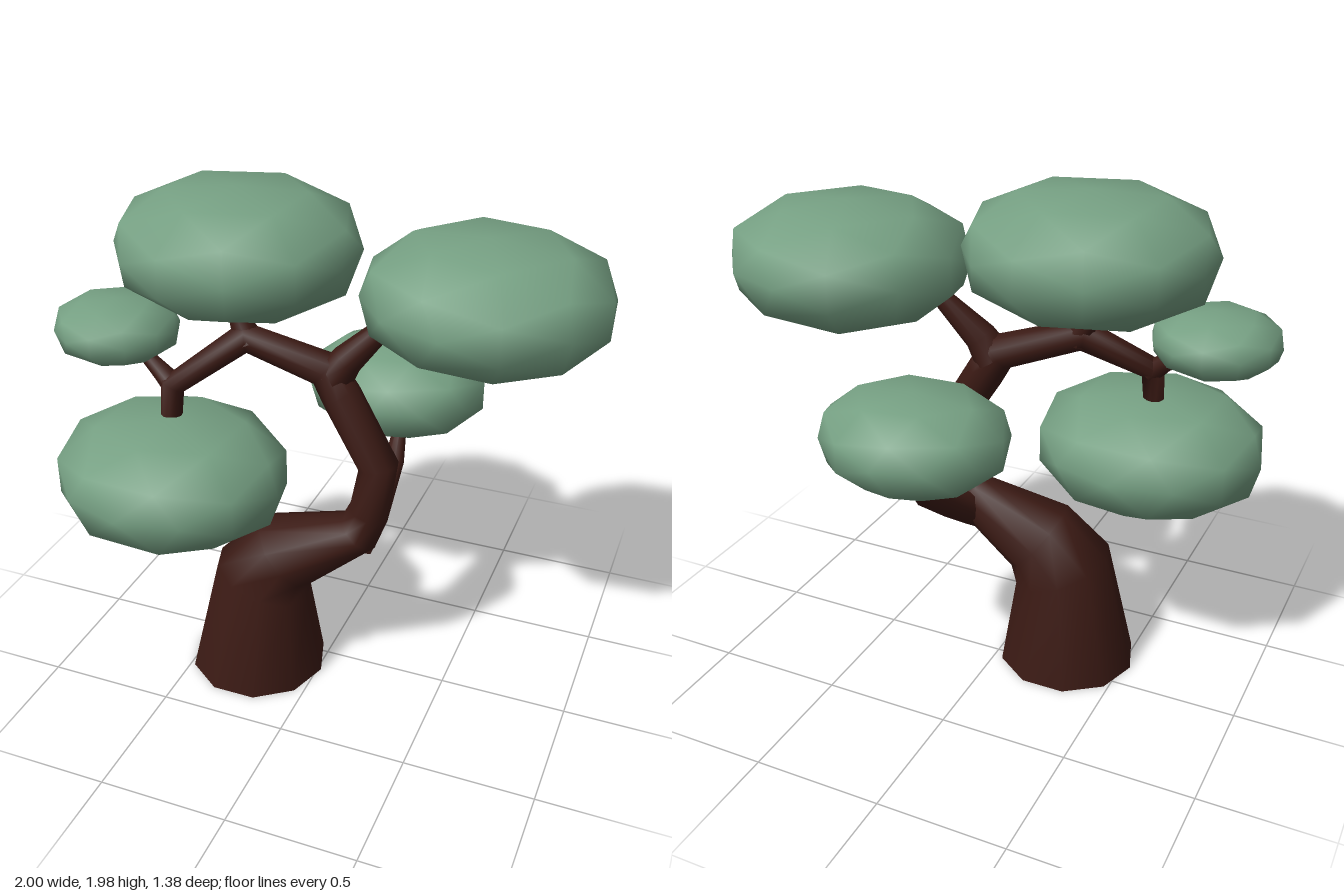
import * as THREE from 'three';
import { mergeVertices } from 'three/addons/utils/BufferGeometryUtils.js';

const bark = new THREE.MeshStandardMaterial({ color: 0x3b1a14 });
const leaves = new THREE.MeshStandardMaterial({ color: 0x76a083 });
const SIDES = 10;

// Tapered limb swept through rings [x, y, z, radius], closed at both ends
function limb(name, rings) {
  const pts = rings.map(([x, y, z]) => new THREE.Vector3(x, y, z));
  const last = pts.length - 1;
  const positions = [], index = [];
  const u = new THREE.Vector3(1, 0, 0);
  const dir = (i) => pts[i + 1].clone().sub(pts[i]).normalize();
  const loops = pts.map((p, i) => {
    const t = new THREE.Vector3();
    if (i > 0) t.add(dir(i - 1));
    if (i < last) t.add(dir(i));
    if (p.y === 0) t.set(0, 1, 0); // the foot sits flat on the ground
    t.normalize();
    u.addScaledVector(t, -u.dot(t)).normalize();
    const v = t.clone().cross(u);
    return Array.from({ length: SIDES }, (_, j) => {
      const a = (j / SIDES) * Math.PI * 2;
      return p.clone().addScaledVector(u, Math.cos(a) * rings[i][3]).addScaledVector(v, Math.sin(a) * rings[i][3]);
    });
  });
  const push = (p) => positions.push(p.x, p.y, p.z) / 3 - 1;
  loops.forEach((loop) => loop.forEach(push));
  for (let i = 0; i < last; i++) {
    for (let j = 0; j < SIDES; j++) {
      const a = i * SIDES + j, b = i * SIDES + (j + 1) % SIDES;
      index.push(a, b, b + SIDES, a, b + SIDES, a + SIDES);
    }
  }
  for (const end of [0, last]) {
    const c = push(pts[end]);
    loops[end].forEach(push);
    for (let j = 0; j < SIDES; j++) {
      const a = c + 1 + j, b = c + 1 + (j + 1) % SIDES;
      index.push(...(end ? [c, a, b] : [c, b, a]));
    }
  }
  const geo = new THREE.BufferGeometry();
  geo.setAttribute('position', new THREE.Float32BufferAttribute(positions, 3));
  geo.setIndex(index);
  geo.computeVertexNormals();
  const mesh = new THREE.Mesh(geo, bark);
  mesh.name = name;
  return mesh;
}

// Low-poly pad of leaves: a sphere squared off towards its top and bottom, fitted to a size
function pad(name, centre, size, turn) {
  let geo = new THREE.IcosahedronGeometry(1, 1);
  geo.deleteAttribute('normal');
  geo.deleteAttribute('uv');
  geo = mergeVertices(geo, 1e-3);
  const pos = geo.attributes.position;
  const p = new THREE.Vector3();
  for (let i = 0; i < pos.count; i++) {
    p.fromBufferAttribute(pos, i);
    const k = Math.pow(Math.hypot(p.x, p.z) ** 2.8 + Math.abs(p.y) ** 2.8, -1 / 2.8);
    pos.setXYZ(i, p.x * k, p.y * k, p.z * k);
  }
  geo.rotateY(turn);
  geo.computeBoundingBox();
  const box = geo.boundingBox.getSize(new THREE.Vector3());
  geo.center();
  geo.scale(size[0] / box.x, size[1] / box.y, size[2] / box.z);
  geo.computeVertexNormals();
  const mesh = new THREE.Mesh(geo, leaves);
  mesh.name = name;
  mesh.position.set(...centre);
  return mesh;
}

export function createModel() {
  const tree = new THREE.Group();
  tree.name = 'tree';

  // Bent trunk running on into the long drooping left limb
  tree.add(limb('trunk', [
    [-0.26, 0, 0.115, 0.275], [-0.23, 0.42, 0.11, 0.2], [-0.14, 0.54, 0.085, 0.165],
    [0.155, 0.69, 0.065, 0.09], [0.195, 0.79, 0.065, 0.08], [0.225, 0.99, 0.06, 0.077],
    [0.065, 1.24, 0.03, 0.075], [0.0, 1.33, 0.02, 0.07], [-0.3, 1.43, 0.07, 0.06],
    [-0.52, 1.27, 0.235, 0.048], [-0.53, 1.08, 0.25, 0.038],
  ]));

  // Side branches
  tree.add(limb('upperRightBranch', [[0.03, 1.3, 0.02, 0.075], [0.08, 1.38, 0.01, 0.06], [0.25, 1.56, -0.04, 0.03]]));
  tree.add(limb('topBranch', [[-0.28, 1.41, 0.07, 0.06], [-0.32, 1.49, 0.06, 0.04], [-0.37, 1.62, 0.05, 0.025]]));
  tree.add(limb('smallLeftBranch', [[-0.51, 1.26, 0.23, 0.045], [-0.57, 1.31, 0.22, 0.035], [-0.69, 1.38, 0.18, 0.02]]));
  tree.add(limb('backBranch', [[0.13, 0.63, 0.05, 0.085], [0.17, 0.69, -0.07, 0.06], [0.18, 0.82, -0.27, 0.04], [0.16, 1.0, -0.43, 0.02]]));

  // Leaf pads
  const foliage = [
    ['topFoliage', [-0.34, 1.76, 0.015], [0.88, 0.44, 0.81], 0.3],
    ['rightFoliage', [0.555, 1.65, -0.1], [0.88, 0.44, 0.85], 0.9],
    ['lowerLeftFoliage', [-0.51, 0.935, 0.29], [0.88, 0.45, 0.8], 1.5],
    ['backFoliage', [0.15, 1.125, -0.38], [0.7, 0.35, 0.62], 2.1],
    ['smallLeftFoliage', [-0.765, 1.445, 0.18], [0.47, 0.225, 0.44], 0.6],
  ];
  foliage.forEach((f) => tree.add(pad(...f)));
  return tree;
}
